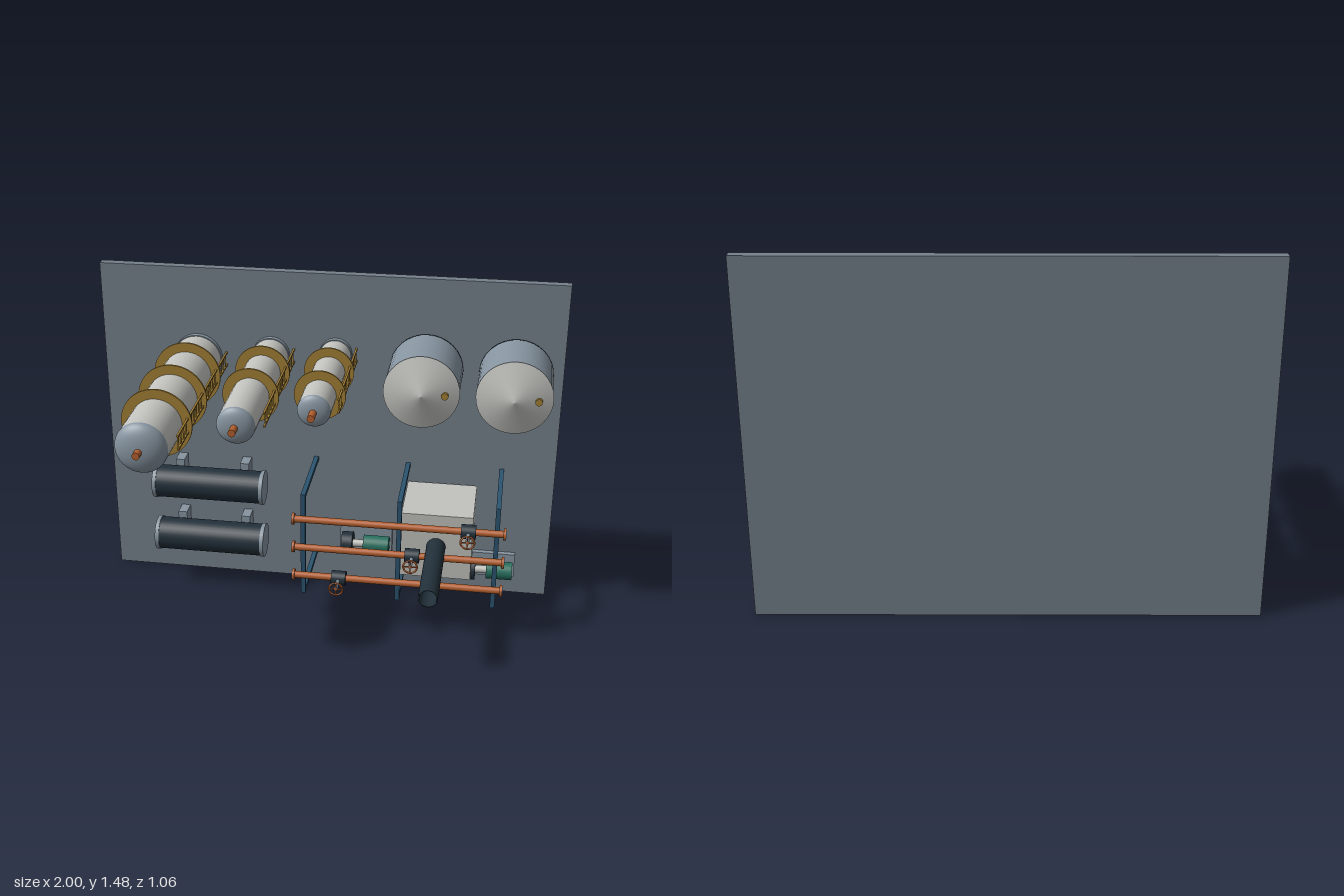
import * as THREE from 'three';

const mat = (name, color) => {
  const m = new THREE.MeshStandardMaterial({ color });
  m.name = name;
  return m;
};

export function createModel() {
  const slabGrey = mat('slab grey', 0x75818b);
  const steel = mat('steel', 0x8795a1);
  const shell = mat('off-white shell', 0xc2c2be);
  const gold = mat('platform gold', 0xa37f35);
  const copper = mat('copper', 0xb5602f);
  const dark = mat('dark navy', 0x22303a);
  const blue = mat('rack blue', 0x2b5470);
  const green = mat('motor green', 0x27705f);

  const root = new THREE.Group();
  root.name = 'processPlant';
  const GROUND = -0.49; // face of the slab; equipment rises along +z

  const group = (name) => {
    const g = new THREE.Group();
    g.name = name;
    root.add(g);
    return g;
  };
  const add = (parent, name, geo, material, x = 0, y = 0, z = 0) => {
    const m = new THREE.Mesh(geo, material);
    m.name = name;
    m.position.set(x, y, z);
    parent.add(m);
    return m;
  };
  const box = (p, name, material, w, h, d, x, y, z) =>
    add(p, name, new THREE.BoxGeometry(w, h, d), material, x, y, z);
  // Cylinders running from a to b along one axis
  const cylZ = (p, name, material, r, x, y, a, b, rTop = r) =>
    add(p, name, new THREE.CylinderGeometry(rTop, r, b - a, 32).rotateX(Math.PI / 2), material, x, y, (a + b) / 2);
  const cylX = (p, name, material, r, a, b, y, z) =>
    add(p, name, new THREE.CylinderGeometry(r, r, b - a, 32).rotateZ(-Math.PI / 2), material, (a + b) / 2, y, z);
  const cylY = (p, name, material, r, x, a, b, z) =>
    add(p, name, new THREE.CylinderGeometry(r, r, b - a, 24), material, x, (a + b) / 2, z);
  // Flat ring facing +z
  const ring = (p, name, material, rIn, rOut, depth, x, y, z) => {
    const s = new THREE.Shape().absarc(0, 0, rOut, 0, Math.PI * 2);
    s.holes.push(new THREE.Path().absarc(0, 0, rIn, 0, Math.PI * 2, true));
    const geo = new THREE.ExtrudeGeometry(s, { depth, bevelEnabled: false, curveSegments: 32 });
    return add(p, name, geo, material, x, y, z);
  };

  box(group('base'), 'baseSlab', slabGrey, 2, 1.475, 0.04, 0, 0.7375, -0.51);

  // Columns with domed head, ring platforms, side nozzle and ladder
  const columns = [
    { x: -0.58, y: 1.068, r: 0.104, rOut: 0.143, top: 0.448, dome: 0.049, tip: 0.53, rings: [-0.285, -0.032, 0.222], ladder: 0.39, nozzle: 0.865 },
    { x: -0.255, y: 1.1, r: 0.077, rOut: 0.116, top: 0.262, dome: 0.033, tip: 0.342, rings: [-0.285, -0.032], ladder: 0.2, nozzle: 0.925 },
    { x: 0.028, y: 1.12, r: 0.067, rOut: 0.105, top: 0.123, dome: 0.028, tip: 0.207, rings: [-0.285, -0.032], ladder: 0.065, nozzle: 0.96 },
  ];
  for (const c of columns) {
    const g = group('column');
    cylZ(g, 'columnShell', shell, c.r, c.x, c.y, GROUND, c.top);
    cylZ(g, 'columnSkirt', steel, c.r + 0.004, c.x, c.y, GROUND, GROUND + 0.022);
    const dome = new THREE.SphereGeometry(c.r, 32, 10, 0, Math.PI * 2, 0, Math.PI / 2)
      .rotateX(Math.PI / 2).scale(1, 1, c.dome / c.r);
    add(g, 'columnHead', dome, steel, c.x, c.y, c.top);
    cylZ(g, 'topNozzle', copper, 0.015, c.x, c.y, c.top + c.dome - 0.01, c.tip);
    const zNozzle = GROUND + 0.4 * (c.top - GROUND);
    cylY(g, 'sideNozzle', copper, 0.019, c.x, c.nozzle, c.y - c.r * 0.8, zNozzle);
    for (const z of c.rings) ring(g, 'platform', gold, c.r - 0.002, c.rOut, 0.009, c.x, c.y, z - 0.0045);
    const lx = c.x + c.r + 0.022;
    for (const s of [-1, 1])
      box(g, 'ladderRail', gold, 0.008, 0.007, c.ladder - GROUND, lx, c.y + s * 0.028, (c.ladder + GROUND) / 2);
    for (let z = GROUND + 0.03; z < c.ladder - 0.005; z += 0.042)
      box(g, 'ladderRung', gold, 0.005, 0.056, 0.005, lx, c.y, z);
  }

  // Storage tanks with conical roofs and a small roof hatch
  for (const x of [0.42, 0.8]) {
    const g = group('storageTank');
    cylZ(g, 'tankShell', steel, 0.156, x, 1.078, -0.475, -0.22);
    cylZ(g, 'tankBottomRim', dark, 0.157, x, 1.078, -0.479, -0.475);
    const roof = new THREE.ConeGeometry(0.158, 0.052, 40, 1, true).rotateX(Math.PI / 2);
    add(g, 'tankRoof', roof, shell, x, 1.078, -0.194);
    cylZ(g, 'roofHatch', gold, 0.015, x + 0.098, 1.078, -0.215, -0.188);
  }

  // Horizontal heat exchangers on saddles
  for (const y of [0.51, 0.243]) {
    const g = group('heatExchanger');
    cylX(g, 'exchangerShell', dark, 0.073, -0.755, -0.285, y, -0.366);
    for (const x of [-0.77, -0.287]) cylX(g, 'endFlange', steel, 0.077, x, x + 0.017, y, -0.366);
    for (const x of [-0.667, -0.372]) box(g, 'saddle', steel, 0.04, 0.172, 0.072, x, y, -0.454);
  }

  // Furnace with a hollow stack and floor burners
  const furnace = group('furnace');
  box(furnace, 'furnaceBox', shell, 0.305, 0.302, 0.305, 0.513, 0.393, -0.3125);
  const wall = [[0.041, 0], [0.041, 0.425], [0.035, 0.425], [0.035, 0]].map(([r, h]) => new THREE.Vector2(r, h));
  const stackMat = dark;
  stackMat.side = THREE.DoubleSide;
  add(furnace, 'stack', new THREE.LatheGeometry(wall, 32).rotateX(Math.PI / 2), stackMat, 0.513, 0.393, -0.16);
  for (const x of [0.44, 0.585]) cylZ(furnace, 'burner', dark, 0.025, x, 0.393, GROUND, -0.46);

  // Pipe rack portals
  for (const x of [-0.056, 0.356, 0.768]) {
    const g = group('rackPortal');
    for (const y of [0.15, 0.613]) box(g, 'rackPost', blue, 0.02, 0.02, 0.37, x, y, -0.305);
    box(g, 'rackBeam', blue, 0.02, 0.483, 0.02, x, 0.3815, -0.12);
  }

  // Pipes with end flanges and a valve each
  const PZ = -0.083;
  for (const [y, vx] of [[0.52, 0.65], [0.384, 0.418], [0.246, 0.105]]) {
    const g = group('pipeRun');
    cylX(g, 'pipe', copper, 0.015, -0.095, 0.803, y, PZ);
    for (const [a, s] of [[-0.097, -1], [0.795, 1]]) {
      cylX(g, 'pipeFlange', copper, 0.025, a, a + 0.01, y, PZ);
      const e = s > 0 ? a + 0.01 : a - 0.002;
      cylX(g, 'flangeCap', steel, 0.024, e, e + 0.002, y, PZ);
    }
    cylX(g, 'valveBody', dark, 0.031, vx - 0.031, vx + 0.031, y, PZ);
    cylZ(g, 'valveStem', steel, 0.008, vx, y, PZ + 0.02, 0.013);
    add(g, 'handwheel', new THREE.TorusGeometry(0.029, 0.004, 8, 28), copper, vx, y, 0.012);
    box(g, 'handwheelSpoke', copper, 0.056, 0.005, 0.004, vx, y, 0.012);
    box(g, 'handwheelSpoke', copper, 0.005, 0.056, 0.004, vx, y, 0.012);
  }

  // Motor-driven pumps on base plates
  for (const [x, y] of [[0.06, 0.235], [0.618, 0.15]]) {
    const g = group('pump');
    box(g, 'pumpBasePlate', steel, 0.236, 0.115, 0.024, x + 0.118, y, -0.478);
    cylX(g, 'pumpCasing', dark, 0.05, x + 0.013, x + 0.063, y, -0.418);
    cylX(g, 'coupling', shell, 0.017, x + 0.06, x + 0.115, y, -0.418);
    cylX(g, 'motor', green, 0.04, x + 0.112, x + 0.227, y, -0.418);
  }

  return root;
}
